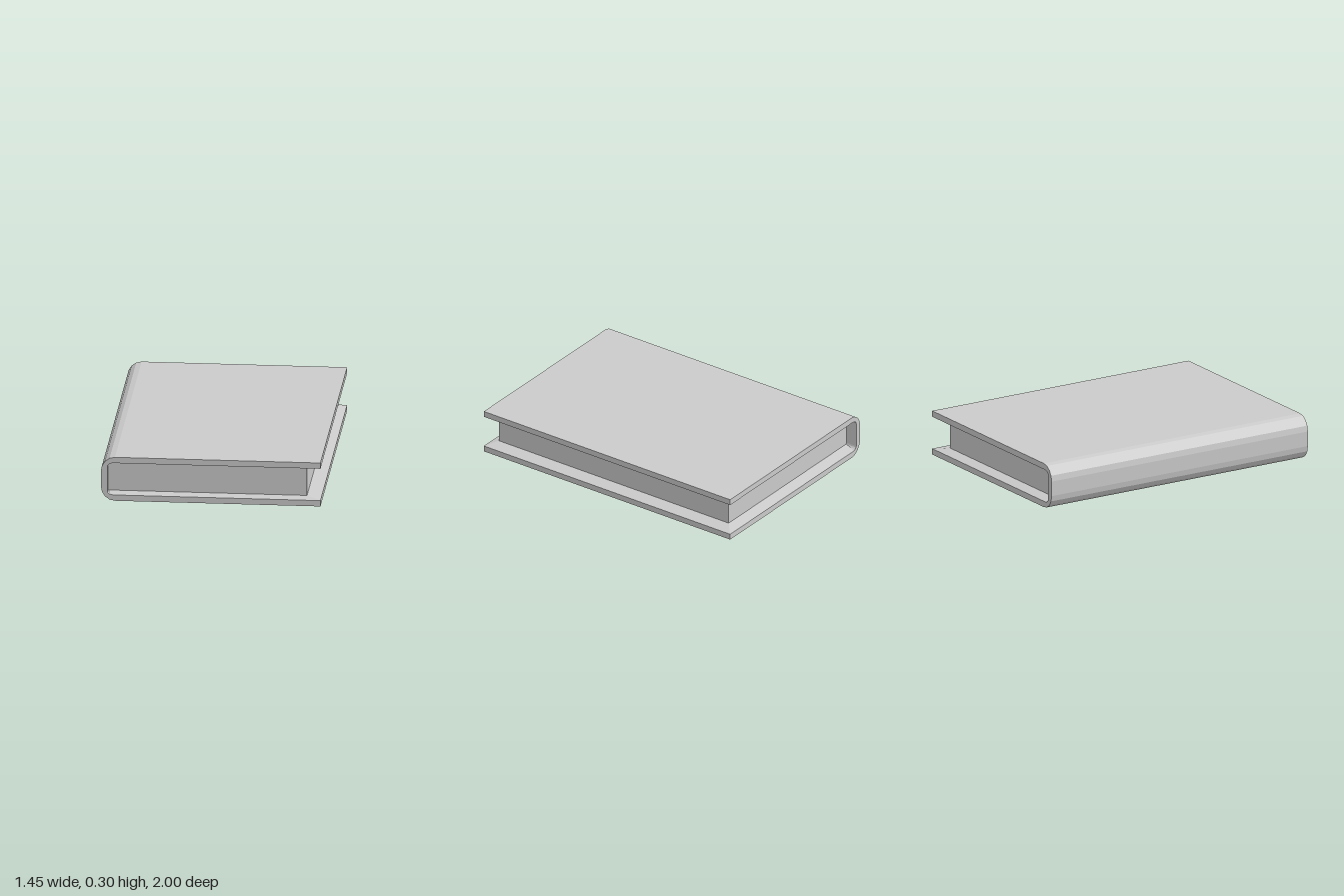
import * as THREE from 'three';

const W = 0.723;  // half width of the cover
const H = 0.3;    // overall thickness
const T = 0.04;   // board thickness
const SPINE = -0.68;
const PAGE = { x: 0.63, front: 0.945, back: -0.92, y: 0.055 };

// Wraparound cover: a U profile with a rounded spine, extruded along z
function coverGeometry() {
  const s = new THREE.Shape();
  s.moveTo(W, 0);
  s.lineTo(-0.63, 0);
  s.absellipse(-0.63, 0.1, W - 0.63, 0.1, 1.5 * Math.PI, Math.PI, true);
  s.lineTo(-W, H - 0.1);
  s.absellipse(-0.63, H - 0.1, W - 0.63, 0.1, Math.PI, 0.5 * Math.PI, true);
  s.lineTo(W, H);
  s.lineTo(W, H - T);
  s.lineTo(-0.64, H - T);
  s.absellipse(-0.64, H - T - 0.025, 0.04, 0.025, 0.5 * Math.PI, Math.PI, false);
  s.lineTo(SPINE, T + 0.025);
  s.absellipse(-0.64, T + 0.025, 0.04, 0.025, Math.PI, 1.5 * Math.PI, false);
  s.lineTo(W, T);
  s.closePath();
  const g = new THREE.ExtrudeGeometry(s, { depth: 2, bevelEnabled: false, curveSegments: 2 });
  return g.translate(0, 0, -1);
}

// Endpaper wedge: thin at the board's rim, rising to meet the page block
function endpaperGeometry(top) {
  const g = new THREE.BoxGeometry(1, 1, 1).toNonIndexed();
  const p = g.attributes.position;
  for (let i = 0; i < p.count; i++) {
    const inner = top ? p.getY(i) < 0 : p.getY(i) > 0;
    const y = inner ? PAGE.y : T;
    const x = p.getX(i) < 0 ? SPINE : inner ? PAGE.x : W;
    const z = p.getZ(i) < 0 ? (inner ? PAGE.back : -1) : (inner ? PAGE.front : 1);
    p.setXYZ(i, x, top ? H - y : y, z);
  }
  g.computeVertexNormals();
  return g;
}

export function createModel() {
  const book = new THREE.Group();
  book.name = 'book';
  const material = new THREE.MeshStandardMaterial({ color: 0xcccccc });
  const add = (name, geometry) => {
    const mesh = new THREE.Mesh(geometry, material);
    mesh.name = name;
    book.add(mesh);
    return mesh;
  };

  add('cover', coverGeometry());
  add('lowerEndpaper', endpaperGeometry(false));
  add('upperEndpaper', endpaperGeometry(true));

  // Page block between the endpapers, seated against the spine
  const pages = add('pages', new THREE.BoxGeometry(
    PAGE.x - SPINE, H - 2 * PAGE.y, PAGE.front - PAGE.back));
  pages.position.set((PAGE.x + SPINE) / 2, H / 2, (PAGE.front + PAGE.back) / 2);
  return book;
}
